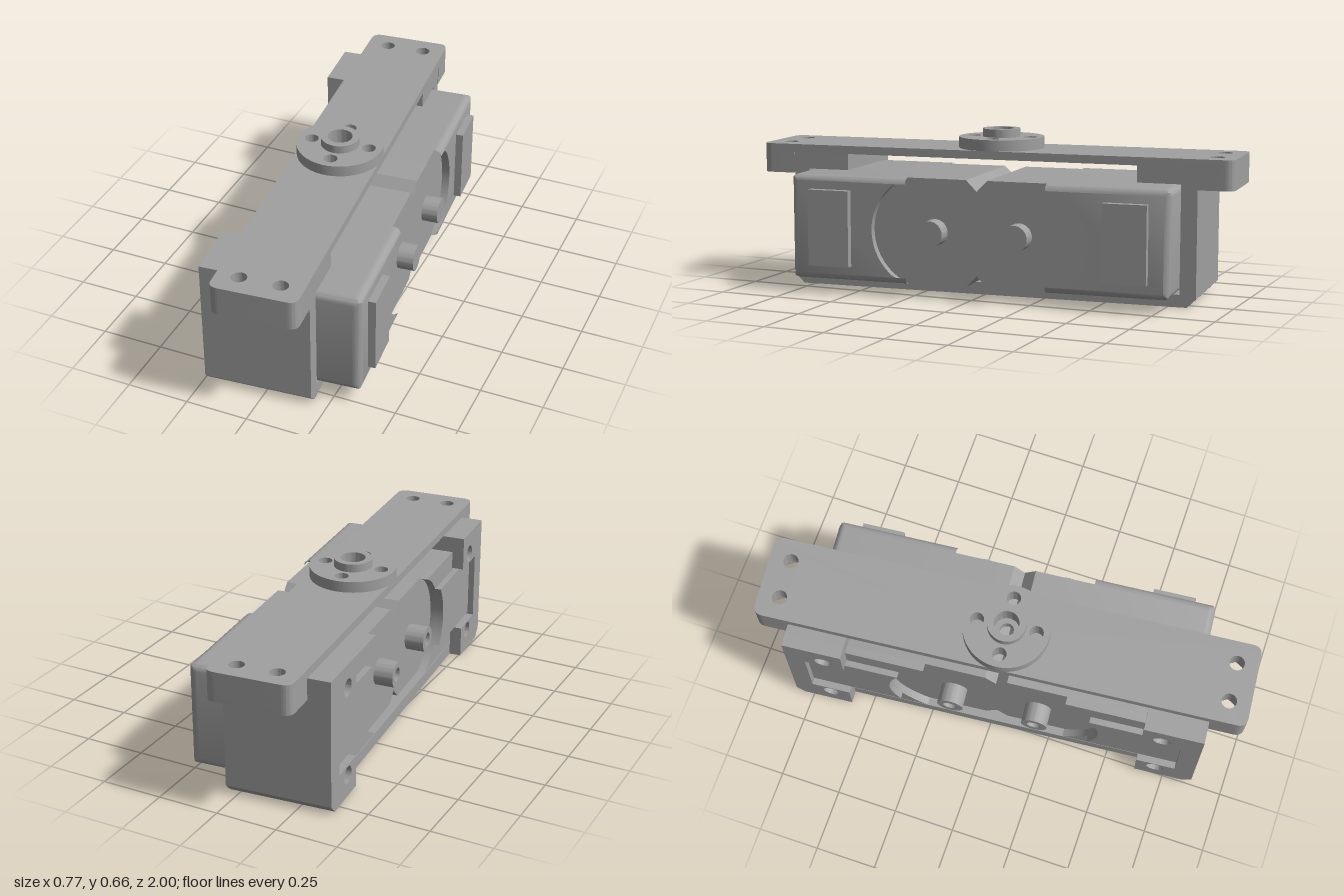
import * as THREE from 'three';
import { toCreasedNormals } from 'three/addons/utils/BufferGeometryUtils.js';

const MID = 0.269; // height of the pin axes

export function createModel() {
  const grey = new THREE.MeshStandardMaterial({ color: 0xa0a0a0 });
  grey.name = 'plainGrey';
  const model = new THREE.Group();
  const body = new THREE.Group();
  body.name = 'gearUnit';
  body.position.x = -0.05;
  body.rotation.y = THREE.MathUtils.degToRad(5);
  model.add(body);

  const add = (name, geometry) => {
    const mesh = new THREE.Mesh(toCreasedNormals(geometry, 0.5), grey);
    mesh.name = name;
    body.add(mesh);
    return mesh;
  };
  const poly = (pts) => new THREE.Shape(pts.map(([x, y]) => new THREE.Vector2(x, y)));
  const circle = (x, y, r, Type = THREE.Path) => new Type().absarc(x, y, r, 0, Math.PI * 2, false);
  const hex = (x, y, r) => {
    const p = new THREE.Path();
    for (let i = 0; i < 6; i++) {
      const a = (i * Math.PI) / 3;
      p[i ? 'lineTo' : 'moveTo'](x + r * Math.cos(a), y + r * Math.sin(a));
    }
    p.closePath();
    return p;
  };
  const extrude = (shape, depth, steps = 1) =>
    new THREE.ExtrudeGeometry(shape, { depth, steps, bevelEnabled: false, curveSegments: 24 });
  // side profile (u = -z, v = y) swept from x0 to x1
  const alongX = (shape, x0, x1) => extrude(shape, x1 - x0).rotateY(Math.PI / 2).translate(x0, 0, 0);
  // plan outline (u = x, v = -z) swept from y0 to y1
  const alongY = (shape, y0, y1) => extrude(shape, y1 - y0).rotateX(-Math.PI / 2).translate(0, y0, 0);

  // U-shaped housing: floor, end walls and inward ledges on top
  const half = [[0.61, 0.483], [0.61, 0.55], [0.85, 0.55], [0.85, 0.035], [0.815, 0]];
  const inner = [[0.785, 0.05], [0.785, 0.483]];
  const mirror = (pts) => pts.map(([u, v]) => [-u, v]).reverse();
  add('housing', alongX(poly([...inner, ...half, ...mirror(half), ...mirror(inner)]), -0.212, 0.168));

  // core block with a V groove across its top and bottom
  const corner = [];
  for (let i = 0; i <= 5; i++) {
    const a = (i / 5) * (Math.PI / 2);
    corner.push([0.755 + 0.03 * Math.sin(a), 0.085 - 0.03 * Math.cos(a)]);
  }
  const lower = [[0, 0.1], [0.045, 0.055], ...corner];
  const upper = lower.map(([u, v]) => [u, 2 * MID - v]).reverse();
  const right = [...lower, ...upper];
  add('coreBlock', alongX(poly([...right, ...mirror(right).slice(1, -1)]), -0.18, 0.311));

  // cover with a concave round inner edge, s picks the end
  const cover = (s, lo, hi, end, r) => {
    const pts = [];
    const a = Math.asin((hi - lo) / 2 / 0.23);
    for (let i = 0; i <= 24; i++) {
      const t = a - (2 * a * i) / 24;
      pts.push([s * (0.205 + 0.23 * Math.cos(t)), MID + 0.23 * Math.sin(t)]);
    }
    for (let j = 0; j < 2; j++) {
      for (let i = 0; i <= 5; i++) {
        const t = ((i / 5 + j - 1) * Math.PI) / 2;
        pts.push([s * (end - r + r * Math.cos(t)), (j ? hi - r : lo + r) + r * Math.sin(t)]);
      }
    }
    return poly(pts);
  };

  for (const s of [-1, 1]) {
    // outer cover with softened rim: each layer is clamped to a smaller outline
    const depth = 0.032;
    const geo = extrude(cover(s, 0.055, 0.483, 0.785, 0.03), depth, 6);
    const p = geo.attributes.position;
    for (let i = 0; i < p.count; i++) {
      const d = p.getZ(i) / depth;
      const inset = 0.025 * (1 - Math.sqrt(Math.max(0, 1 - d * d)));
      p.setX(i, THREE.MathUtils.clamp(p.getX(i), -0.785 + inset, 0.785 - inset));
      p.setY(i, THREE.MathUtils.clamp(p.getY(i), 0.055 + inset, 0.483 - inset));
    }
    add('outerCover', geo.rotateY(Math.PI / 2).translate(0.311, 0, 0));
    add('outerPad', new THREE.BoxGeometry(0.04, 0.31, 0.175)).position.set(0.353, 0.27, s * 0.6125);

    // inner cover and the raised pad on it
    add('innerCover', alongX(cover(s, 0.055, 0.483, 0.785, 0.005), -0.212, -0.18));
    add('innerPad', alongX(cover(s, 0.14, 0.4, 0.77, 0.005), -0.237, -0.212));

    // mounting frame: end post with a drilled ear above and below
    const frame = poly([
      [0.61, 0], [0.815, 0], [0.85, 0.035], [0.85, 0.55], [0.61, 0.55],
      [0.61, 0.41], [0.77, 0.41], [0.77, 0.13], [0.61, 0.13],
    ].map(([u, v]) => [s * u, v]));
    for (const y of [0.09, 0.455]) frame.holes.push(circle(s * 0.69, y, 0.035));
    add('mountingFrame', alongX(frame, -0.262, -0.212));

    // solid outer pin and hollow inner pin
    add('outerPin', alongX(circle(s * 0.175, MID, 0.053, THREE.Shape), 0.3, 0.378));
    const tube = circle(s * 0.175, MID, 0.053, THREE.Shape);
    tube.holes.push(circle(s * 0.175, MID, 0.028));
    add('innerPin', alongX(tube, -0.26, -0.18));

    // thick plate ends: hex nut pocket below, round hole above
    const lug = (hole) => {
      const sh = new THREE.Shape();
      sh.moveTo(-0.17, s * 0.85);
      sh.lineTo(0.17, s * 0.85);
      sh.lineTo(0.17, s * 0.9525);
      sh.quadraticCurveTo(0.17, s * 0.9925, 0.13, s * 0.9925);
      sh.lineTo(-0.13, s * 0.9925);
      sh.quadraticCurveTo(-0.17, s * 0.9925, -0.17, s * 0.9525);
      sh.closePath();
      for (const x of [-0.08, 0.08]) sh.holes.push(hole(x, s * 0.906));
      return sh;
    };
    add('plateLugPocket', alongY(lug((x, y) => hex(x, y, 0.048)), 0.463, 0.51));
    add('plateLug', alongY(lug((x, y) => circle(x, y, 0.03)), 0.51, 0.55));
  }

  // top plate with rounded corners and through holes
  const ringHoles = [[0.12, 0], [-0.12, 0], [0, 0.12], [0, -0.12]];
  const [w, l, r] = [0.17, 0.9925, 0.04];
  const plate = new THREE.Shape();
  plate.moveTo(-w + r, -l);
  plate.lineTo(w - r, -l);
  plate.quadraticCurveTo(w, -l, w, -l + r);
  plate.lineTo(w, l - r);
  plate.quadraticCurveTo(w, l, w - r, l);
  plate.lineTo(-w + r, l);
  plate.quadraticCurveTo(-w, l, -w, l - r);
  plate.lineTo(-w, -l + r);
  plate.quadraticCurveTo(-w, -l, -w + r, -l);
  for (const x of [-0.08, 0.08]) for (const z of [-0.906, 0.906]) plate.holes.push(circle(x, z, 0.03));
  for (const [x, z] of [...ringHoles, [0, 0]]) plate.holes.push(circle(x, z, 0.028));
  add('topPlate', alongY(plate, 0.55, 0.583));

  // round flange with four holes, and the bored boss on it
  const flange = circle(0, 0, 0.174, THREE.Shape);
  for (const [x, z] of ringHoles) flange.holes.push(circle(x, z, 0.028));
  flange.holes.push(circle(0, 0, 0.05));
  add('flange', alongY(flange, 0.583, 0.628));
  const boss = circle(0, 0, 0.077, THREE.Shape);
  boss.holes.push(circle(0, 0, 0.05));
  add('boss', alongY(boss, 0.628, 0.661));

  return model;
}
